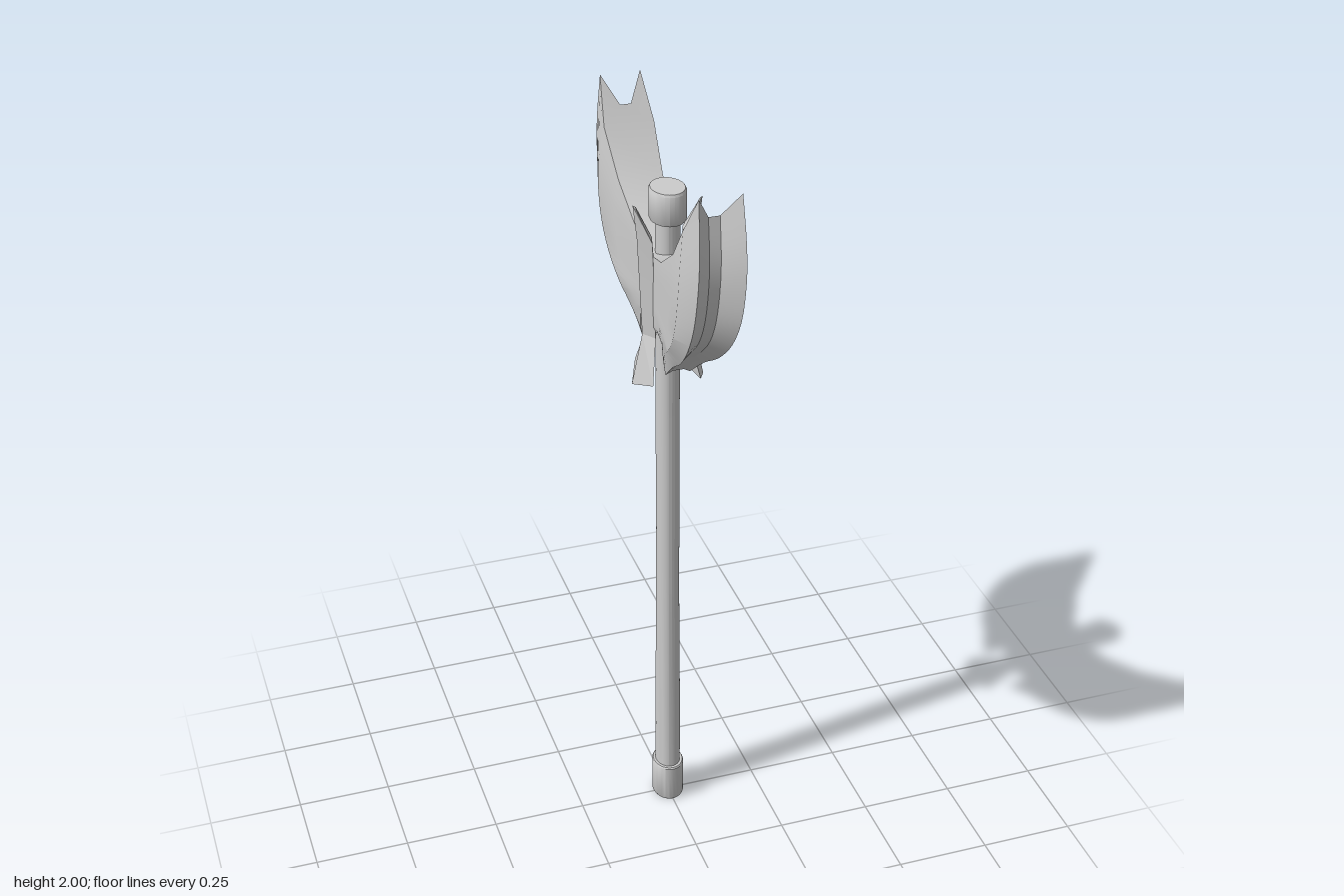
import * as THREE from 'three';
import { toCreasedNormals } from 'three/addons/utils/BufferGeometryUtils.js';

const material = new THREE.MeshStandardMaterial({ color: 0xcccccc, side: THREE.DoubleSide });

function addMesh(parent, name, geometry) {
  const mesh = new THREE.Mesh(geometry, material);
  mesh.name = name;
  parent.add(mesh);
  return mesh;
}

// Skin a stack of rings (top to bottom); caps are faces as [ring, indices...]
function loft(rings, closed, caps, crease) {
  const n = rings[0].length;
  const index = [];
  for (let j = 0; j < rings.length - 1; j++) {
    for (let i = 0; i < (closed ? n : n - 1); i++) {
      const a = j * n + i, b = j * n + (i + 1) % n;
      index.push(a, b, a + n, b, b + n, a + n);
    }
  }
  for (const [ring, ...face] of caps) {
    for (let k = 1; k < face.length - 1; k++) {
      index.push(ring * n + face[0], ring * n + face[k], ring * n + face[k + 1]);
    }
  }
  const geometry = new THREE.BufferGeometry();
  geometry.setAttribute('position', new THREE.Float32BufferAttribute(rings.flat(2), 3));
  geometry.setIndex(index);
  return toCreasedNormals(geometry, crease);
}

// Curved blade half with a grooved, double-lipped cutting edge
function bladeGeometry() {
  // edge z, edge y, control z, control y, root y, bulge width, lip width, groove depth
  const rows = [
    [0.380, 2.000, 0.20, 1.700, 1.685, 0.065, 0.052, 0.12],
    [0.400, 1.880, 0.20, 1.680, 1.660, 0.076, 0.056, 0.13],
    [0.398, 1.780, 0.20, 1.650, 1.630, 0.080, 0.058, 0.14],
    [0.370, 1.670, 0.19, 1.610, 1.600, 0.079, 0.058, 0.14],
    [0.315, 1.580, 0.17, 1.575, 1.575, 0.074, 0.055, 0.13],
    [0.243, 1.510, 0.13, 1.550, 1.550, 0.066, 0.048, 0.12],
    [0.164, 1.458, 0.12, 1.540, 1.520, 0.055, 0.040, 0.08],
    [0.080, 1.390, 0.13, 1.530, 1.480, 0.042, 0.032, 0.04],
  ];
  const curve = (pick) => new THREE.CatmullRomCurve3(
    rows.map((r) => new THREE.Vector3(...pick(r))), false, 'catmullrom');
  const edge = curve((r) => [r[6], r[1], r[0]]);
  const control = curve((r) => [r[5], r[3], r[2]]);
  const root = curve((r) => [r[7], r[4], 0]);

  const steps = 21;
  const rings = [];
  for (let j = 0; j <= steps; j++) {
    const t = j / steps;
    const e = edge.getPoint(t), c = control.getPoint(t), r = root.getPoint(t);
    const at = (s, x) => [x,
      (1 - s) ** 2 * r.y + 2 * s * (1 - s) * c.y + s * s * e.y,
      2 * s * (1 - s) * c.z + s * s * e.z];
    const base = Math.min(0.046, c.x);
    const side = [
      at(0, base),
      at(0.25, base + (c.x - base) * 0.15),
      at(0.55, base + (c.x - base) * 0.6),
      at(0.8, c.x),
      at(1, e.x),
      at(1 - r.x, 0.014),
    ];
    rings.push([...side, ...side.slice().reverse().map(([x, y, z]) => [-x, y, z])]);
  }
  const end = [[0, 1, 10, 11], [1, 2, 9, 10], [2, 3, 8, 9], [3, 5, 6, 8], [3, 4, 5], [6, 7, 8]];
  const caps = [
    ...end.map((f) => [0, ...f.slice().reverse()]),
    ...end.map((f) => [steps, ...f]),
  ];
  return loft(rings, false, caps, 0.55);
}

// Ridged langet: pointed at the top, flared into wings at the bottom
function langetGeometry() {
  // edge y, edge x, half width, ridge y, ridge x, back x
  const rows = [
    [1.815, 0.083, 0.002, 1.820, 0.088, 0.080],
    [1.730, 0.050, 0.036, 1.730, 0.078, 0.040],
    [1.600, 0.046, 0.035, 1.600, 0.072, 0.030],
    [1.470, 0.042, 0.034, 1.470, 0.066, 0.028],
    [1.360, 0.062, 0.075, 1.332, 0.094, 0.050],
  ];
  const rings = rows.map(([y, x, w, ry, rx, bx]) =>
    [[x, y, -w], [rx, ry, 0], [x, y, w], [bx, y, 0]]);
  return loft(rings, true, [[0, 3, 2, 1, 0], [4, 0, 1, 2, 3]], 0.3);
}

// Turned part with an oval section
function ovalLathe(profile) {
  const points = profile.map(([r, y]) => new THREE.Vector2(r, y));
  const geometry = new THREE.LatheGeometry(points, 24);
  geometry.scale(0.81, 1, 1);
  return toCreasedNormals(geometry, 0.6);
}

export function createModel() {
  const model = new THREE.Group();
  model.name = 'doubleAxe';

  addMesh(model, 'shaft', ovalLathe([[0.041, 0.1], [0.041, 0.3], [0.037, 0.7], [0.037, 1.79]]));
  addMesh(model, 'pommel', ovalLathe(
    [[0, 0], [0.048, 0], [0.052, 0.006], [0.052, 0.108], [0.049, 0.112], [0, 0.112]]));
  addMesh(model, 'topCap', ovalLathe(
    [[0, 1.775], [0.053, 1.775], [0.056, 1.78], [0.056, 1.852], [0.052, 1.858], [0, 1.858]]));

  // Matching pairs, turned half a circle about the shaft
  const blade = bladeGeometry();
  const langet = langetGeometry();
  ['front', 'back'].forEach((side, i) => {
    addMesh(model, side + 'Blade', blade).rotation.y = i * Math.PI;
  });
  ['left', 'right'].forEach((side, i) => {
    addMesh(model, side + 'Langet', langet).rotation.y = i * Math.PI;
  });
  return model;
}
